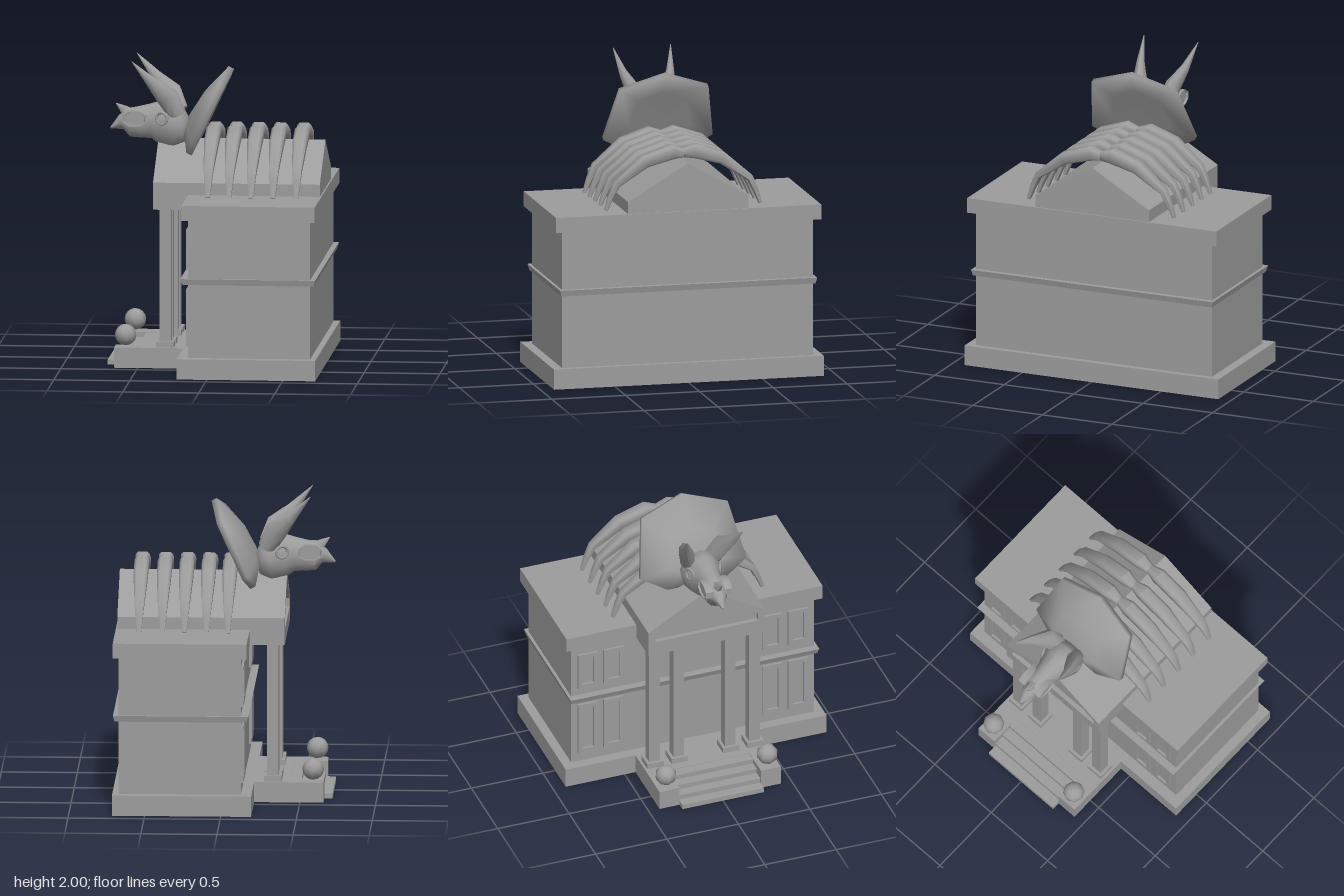
import * as THREE from 'three';
import { toCreasedNormals } from 'three/addons/utils/BufferGeometryUtils.js';

const mat = new THREE.MeshStandardMaterial({ color: 0x9c9c9c, side: THREE.DoubleSide });
const V = (x, y, z) => new THREE.Vector3(x, y, z);

export function createModel() {
  const model = new THREE.Group();

  const add = (name, geo, x = 0, y = 0, z = 0, parent = model) => {
    const mesh = new THREE.Mesh(geo, mat);
    mesh.name = name;
    mesh.position.set(x, y, z);
    parent.add(mesh);
    return mesh;
  };
  const group = (name) => {
    const g = new THREE.Group();
    g.name = name;
    model.add(g);
    return g;
  };

  // Skin over a list of closed rings of points, creased above the given angle
  const loft = (rings, { capStart = true, crease = 0.9 } = {}) => {
    const n = rings[0].length, m = rings.length, index = [];
    for (let i = 0; i < m - 1; i++) {
      for (let j = 0; j < n; j++) {
        const a = i * n + j, b = i * n + (j + 1) % n;
        index.push(a, b, b + n, a, b + n, a + n);
      }
    }
    for (let j = 1; j < n - 1; j++) {
      const e = (m - 1) * n;
      if (capStart) index.push(0, j + 1, j);
      index.push(e, e + j, e + j + 1);
    }
    const geo = new THREE.BufferGeometry().setFromPoints(rings.flat());
    geo.setIndex(index);
    return toCreasedNormals(geo, crease);
  };

  // Tapered limb: rows of [centre, half width along ref, half width across it];
  // a power below 1 makes the section boxier, phase turns it
  const limb = (rows, ref, sides, power = 1, phase = 0) => {
    const bend = (v) => Math.sign(v) * Math.abs(v) ** power;
    const rings = rows.map(([p, a, b], i) => {
      const t = rows[Math.min(i + 1, rows.length - 1)][0].clone()
        .sub(rows[Math.max(i - 1, 0)][0]).normalize();
      const s1 = ref.clone().addScaledVector(t, -ref.dot(t)).normalize();
      const s2 = t.clone().cross(s1);
      return Array.from({ length: sides }, (_, j) => {
        const q = (j / sides) * Math.PI * 2 + phase;
        return p.clone().addScaledVector(s1, a * bend(Math.cos(q)))
          .addScaledVector(s2, b * bend(Math.sin(q)));
      });
    });
    return loft(rings);
  };

  const shapeOf = (pts) => new THREE.Shape(pts.map(([x, y]) => new THREE.Vector2(x, y)));
  const extrude = (shape, depth) =>
    new THREE.ExtrudeGeometry(shape, { depth, bevelEnabled: false });
  const alongX = (shape, depth) => extrude(shape, depth).rotateY(Math.PI / 2);

  // Main block, hollow below: plinth, walls, string course and roof slab, as [x0, x1, halfZ, y]
  const levels = [
    [-0.2, 0.715, 0.913, 0], [-0.2, 0.715, 0.913, 0.135],
    [-0.13, 0.675, 0.85, 0.135], [-0.13, 0.675, 0.85, 0.62],
    [-0.165, 0.7, 0.86, 0.62], [-0.18, 0.71, 0.87, 0.66],
    [-0.13, 0.675, 0.85, 0.66], [-0.13, 0.675, 0.85, 1.05],
    [-0.17, 0.71, 0.897, 1.05], [-0.17, 0.71, 0.897, 1.15],
  ];
  add('mainBuilding', loft(
    levels.map(([a, b, z, y]) => [V(b, y, z), V(b, y, -z), V(a, y, -z), V(a, y, z)]),
    { capStart: false, crease: 0.1 }));

  // Porch floor, notched for the stairs
  add('porch', extrude(shapeOf([
    [-0.2, -0.425], [-0.2, 0.425], [-0.655, 0.425], [-0.655, 0.285],
    [-0.44, 0.285], [-0.44, -0.285], [-0.655, -0.285], [-0.655, -0.425],
  ]), 0.135).rotateX(-Math.PI / 2));

  // Stairs, one slab per step
  const stairs = group('stairs');
  for (let i = 0; i < 4; i++) {
    add('step', new THREE.BoxGeometry(0.0675, 0.033, 0.57), -0.676 + i * 0.0675, 0.0165 + i * 0.033, 0, stairs);
  }

  // Ball ornaments and square columns
  const ball = new THREE.SphereGeometry(0.071, 8, 8).rotateZ(Math.PI / 8);
  const columns = group('columns');
  for (const s of [-1, 1]) {
    add('ballOrnament', ball, -0.585, 0.211, s * 0.355);
    for (const z of [0.18, 0.35]) {
      add('columnShaft', new THREE.BoxGeometry(0.075, 0.89, 0.075), -0.322, 0.61, s * z, columns);
      add('columnBase', new THREE.BoxGeometry(0.115, 0.038, 0.115), -0.322, 0.154, s * z, columns);
    }
  }

  // Gabled roof with a recessed pediment
  const gable = () => shapeOf([[-0.408, 1.05], [0.408, 1.05], [0.408, 1.23], [0, 1.47], [-0.408, 1.23]]);
  add('gableRoof', alongX(gable(), 1.07), -0.37);
  const frame = gable();
  frame.holes.push(shapeOf([[-0.36, 1.15], [0.36, 1.15], [0.36, 1.21], [0, 1.42], [-0.36, 1.21]]));
  add('pedimentFrame', alongX(frame, 0.03), -0.4);

  // Window frames, in pairs
  const windows = group('windows');
  const windowFrame = (h) => {
    const w = 0.07, e = 0.03;
    const f = shapeOf([[-w, 0], [w, 0], [w, h], [-w, h]]);
    f.holes.push(shapeOf([[e - w, e], [w - e, e], [w - e, h - e], [e - w, h - e]]));
    return alongX(f, 0.016);
  };
  for (const z of [-0.735, -0.555, 0.555, 0.735]) {
    add('lowerWindow', windowFrame(0.38), -0.145, 0.205, z, windows);
    add('upperWindow', windowFrame(0.265), -0.145, 0.715, z, windows);
  }

  // Rib pairs over the roof: [z, y, half width in x, half thickness]
  const ribRows = [
    [0, 1.512, 0.03, 0.03], [0.075, 1.523, 0.049, 0.048], [0.26, 1.468, 0.048, 0.042],
    [0.45, 1.325, 0.033, 0.024], [0.49, 1.24, 0.025, 0.018], [0.523, 1.15, 0.015, 0.011],
  ];
  const ribs = group('ribs');
  for (const s of [-1, 1]) {
    const rib = limb(ribRows.map(([z, y, a, b]) => [V(0, y, s * z), a, b]),
      V(1, 0, 0), 8, 0.5, Math.PI / 8);
    for (const x of [-0.03, 0.11, 0.255, 0.4, 0.553]) add('rib', rib, x, 0, 0, ribs);
  }

  // Neck frill: tilted shield, each ring as [scale, forward offset, shift along the shield]
  const outline = [[0, 0.305], [-0.3, 0.195], [-0.37, -0.2], [-0.2, -0.305], [0, -0.305],
    [0.2, -0.305], [0.37, -0.2], [0.3, 0.195]];
  const frillRings = [[0.01, -0.015, 0], [0.55, -0.018, 0], [1, -0.018, 0], [1, 0.02, 0],
    [0.5, 0.09, -0.06], [0.01, 0.115, -0.1]];
  add('neckFrill', loft(frillRings.map(([k, n, d]) => outline.map(([z, u]) => {
    const v = u * k + d;
    return V(-0.05 + 0.43 * v - 0.903 * n, 1.665 + 0.903 * v + 0.43 * n, z * k);
  })), { crease: 3 }));

  // Skull: [x, y, half height, half width] from the neck to the beak
  const skull = group('skull');
  const skullRows = [
    [-0.2, 1.57, 0.05, 0.06], [-0.235, 1.565, 0.125, 0.125], [-0.29, 1.56, 0.157, 0.14],
    [-0.38, 1.575, 0.148, 0.11], [-0.45, 1.58, 0.115, 0.08], [-0.52, 1.572, 0.105, 0.075],
    [-0.59, 1.568, 0.095, 0.078], [-0.645, 1.57, 0.05, 0.045], [-0.715, 1.53, 0.006, 0.006],
  ];
  add('head', limb(skullRows.map(([x, y, h, w]) => [V(x, y, 0), h, w]), V(0, 1, 0), 12), 0, 0, 0, skull);
  add('noseHorn', limb([[V(-0.58, 1.61, 0), 0.04, 0.055], [V(-0.63, 1.655, 0), 0.025, 0.03],
    [V(-0.68, 1.693, 0), 0.003, 0.003]], V(0, 0, 1), 6), 0, 0, 0, skull);
  // Nostril socket rings: [scale, z]
  const socket = [[1, 0.04], [1, 0.092], [0.88, 0.092], [0.84, 0.08]];
  for (const s of [-1, 1]) {
    // Brow horn
    add('browHorn', limb([
      [V(-0.27, 1.64, s * 0.08), 0.055, 0.06], [V(-0.33, 1.755, s * 0.118), 0.048, 0.074],
      [V(-0.43, 1.855, s * 0.16), 0.027, 0.038], [V(-0.56, 2, s * 0.195), 0.002, 0.002],
    ], V(0, 0, 1), 8), 0, 0, 0, skull);
    // Nostril socket and eye rim
    add('nostril', loft(socket.map(([k, z]) => Array.from({ length: 8 }, (_, j) => {
      const q = s * (j + 0.5) * Math.PI / 4;
      return V(-0.553 + 0.088 * k * Math.cos(q), 1.602 + 0.056 * k * Math.sin(q), s * z);
    })), { crease: 0.8 }), 0, 0, 0, skull);
    const eye = add('eyeRim', new THREE.TorusGeometry(0.04, 0.01, 8, 12), -0.37, 1.61, s * 0.105, skull);
    eye.rotation.y = -s * 0.4;
  }

  return model;
}
